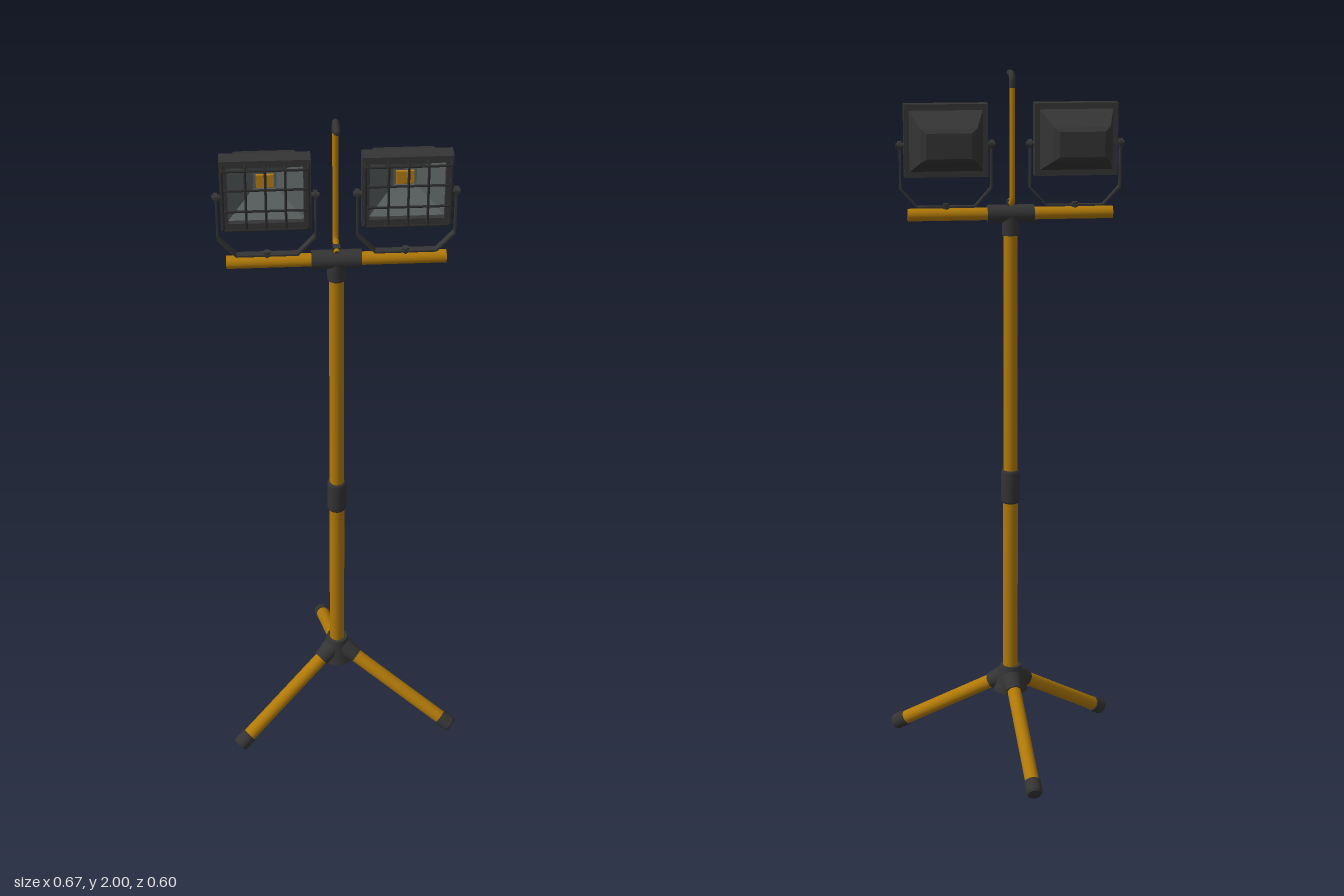
import * as THREE from 'three';

const mat = (name, color) => Object.assign(new THREE.MeshStandardMaterial({ color }), { name });
const V = (x, y, z) => new THREE.Vector3(x, y, z);

export function createModel() {
  const model = new THREE.Group();
  model.name = 'workLightTripod';
  const yellow = mat('yellow paint', 0xb07908);
  const dark = mat('dark plastic', 0x343434);
  const black = mat('black wire', 0x2a2a2a);
  const silver = mat('grey reflector', 0x585e5e);
  silver.side = THREE.DoubleSide;
  const amber = mat('amber emitter', 0xb47c14);

  const add = (parent, name, geo, material, x = 0, y = 0, z = 0) => {
    const m = new THREE.Mesh(geo, material);
    m.name = name;
    m.position.set(x, y, z);
    parent.add(m);
    return m;
  };
  // Cylinder running from a to b
  const bar = (parent, name, a, b, r, material, rEnd = r, sides = 24) => {
    const d = b.clone().sub(a);
    const m = add(parent, name, new THREE.CylinderGeometry(rEnd, r, d.length(), sides), material);
    m.position.copy(a).addScaledVector(d, 0.5);
    m.quaternion.setFromUnitVectors(V(0, 1, 0), d.normalize());
    return m;
  };
  // Bent rod through points; tension 0 gives straight runs
  const rod = (parent, name, pts, r, material, segs = 40, tension = 0) =>
    add(parent, name, new THREE.TubeGeometry(
      new THREE.CatmullRomCurve3(pts, false, 'catmullrom', tension), segs, r, 8), material);
  // Rectangular cross-sections [halfWidth, halfHeight, z] joined into a faceted shell
  const loft = (sections) => {
    const pos = [];
    const ring = ([w, h, z]) => [[-w, -h, z], [w, -h, z], [w, h, z], [-w, h, z]];
    for (let s = 0; s + 1 < sections.length; s++) {
      const a = ring(sections[s]), b = ring(sections[s + 1]);
      for (let i = 0; i < 4; i++) {
        const j = (i + 1) % 4;
        pos.push(...a[i], ...a[j], ...b[j], ...a[i], ...b[j], ...b[i]);
      }
    }
    const g = new THREE.BufferGeometry();
    g.setAttribute('position', new THREE.Float32BufferAttribute(pos, 3));
    g.computeVertexNormals();
    return g;
  };
  const rect = (Type, w, h) => new Type([[-w, -h], [w, -h], [w, h], [-w, h]].map(p => new THREE.Vector2(...p)));

  const px = -0.015, pz = 0.076;

  // Telescopic mast
  bar(model, 'lowerMast', V(px, 0.2, pz), V(px, 0.8, pz), 0.0215, yellow);
  bar(model, 'upperMast', V(px, 0.8, pz), V(px, 1.6, pz), 0.02, yellow);
  add(model, 'mastCollar', new THREE.LatheGeometry(
    [[0.019, 0.768], [0.024, 0.768], [0.027, 0.775], [0.027, 0.858], [0.024, 0.866], [0.019, 0.866]]
      .map(p => new THREE.Vector2(...p)), 24), dark, px, 0, pz);

  // Tripod hub and legs
  bar(model, 'hub', V(px, 0.185, pz), V(px, 0.262, pz), 0.05, dark, 0.031);
  for (const [name, x, z] of [['backLeg', -0.045, -0.293], ['frontRightLeg', -0.32, 0.281], ['frontLeftLeg', 0.323, 0.234]]) {
    const leg = new THREE.Group();
    leg.name = name;
    model.add(leg);
    const top = V(px, 0.237, pz), tip = V(x, 0.02, z);
    const at = t => top.clone().lerp(tip, t);
    bar(leg, 'legTube', at(0.1), at(0.97), 0.02, yellow);
    bar(leg, 'legSocket', at(0.04), at(0.165), 0.03, dark, 0.0235);
    bar(leg, 'footCap', at(0.9), at(0.985), 0.0235, dark);
    bar(leg, 'footTip', at(0.985), at(1), 0.0235, dark, 0.02);
  }

  // Crossbar and tee fitting
  const barY = 1.608;
  bar(model, 'crossbar', V(-0.3, barY, pz), V(0.27, barY, pz), 0.0175, yellow);
  bar(model, 'teeSleeve', V(-0.08, barY, pz), V(0.05, barY, pz), 0.025, dark);
  bar(model, 'teeSocket', V(px, 1.548, pz), V(px, barY, pz), 0.024, dark);

  // Hanging hook with dark grip and base clip
  rod(model, 'hookRod', [V(px, 1.639, 0.1), V(px, 1.639, 0.055), V(px, 1.643, 0.041), V(px, 1.656, 0.036),
    V(px, 1.7, 0.036), V(px, 1.965, 0.036)], 0.008, yellow, 60, 0.2);
  add(model, 'hookClip', new THREE.BoxGeometry(0.02, 0.02, 0.02), dark, px, 1.637, pz);
  rod(model, 'hookGrip', [V(px, 1.955, 0.036), V(px, 1.978, 0.037), V(px, 1.989, 0.046),
    V(px, 1.992, 0.06), V(px, 1.99, 0.1)], 0.009, dark, 30, 0.4);
  add(model, 'gripEnd', new THREE.SphereGeometry(0.009, 12, 8), dark, px, 1.99, 0.1);

  // Floodlight, centred on its own origin
  const addLamp = (name, x) => {
    const lamp = new THREE.Group();
    lamp.name = name;
    lamp.position.set(x, 1.813, 0);
    model.add(lamp);

    add(lamp, 'housing', loft([[0.0001, 0.0001, -0.066], [0.061, 0.034, -0.066], [0.076, 0.045, -0.055],
      [0.101, 0.083, 0.052]]), dark);
    const frame = rect(THREE.Shape, 0.115, 0.099);
    frame.holes.push(rect(THREE.Path, 0.096, 0.08));
    add(lamp, 'frontFrame', new THREE.ExtrudeGeometry(frame, { depth: 0.043, bevelEnabled: false }), dark, 0, 0, 0.051);
    add(lamp, 'reflector', loft([[0.096, 0.08, 0.078], [0.03, 0.024, 0.015], [0.0001, 0.0001, 0.015]]), silver);
    add(lamp, 'emitter', new THREE.BoxGeometry(0.046, 0.036, 0.008), amber, 0, 0, 0.02);

    // Wire guard
    for (const wx of [-0.108, -0.05, 0, 0.05, 0.108])
      rod(lamp, 'guardUpright', [V(wx, 0.087, 0.09), V(wx, 0.087, 0.112), V(wx, 0.081, 0.1185),
        V(wx, -0.081, 0.1185), V(wx, -0.087, 0.112), V(wx, -0.087, 0.09)], 0.0032, black, 48);
    for (const wy of [-0.085, -0.03, 0.03, 0.085])
      rod(lamp, 'guardRail', [V(-0.109, wy, 0.09), V(-0.109, wy, 0.112), V(-0.103, wy, 0.1185),
        V(0.103, wy, 0.1185), V(0.109, wy, 0.112), V(0.109, wy, 0.09)], 0.0032, black, 48);

    // Flat-strap yoke
    const outer = [[-0.128, -0.005], [-0.128, -0.133], [-0.08, -0.186], [0.08, -0.186], [0.128, -0.133], [0.128, -0.005]];
    const inner = [[0.123, -0.005], [0.123, -0.131], [0.078, -0.181], [-0.078, -0.181], [-0.123, -0.131], [-0.123, -0.005]];
    const strap = new THREE.Shape([...outer, ...inner].map(p => new THREE.Vector2(...p)));
    add(lamp, 'yoke', new THREE.ExtrudeGeometry(strap, { depth: 0.02, bevelEnabled: false }), dark, 0, 0, 0.066);
    bar(lamp, 'yokeBolt', V(0, -0.2, pz), V(0, -0.175, pz), 0.01, dark, 0.01, 6);
    for (const s of [-1, 1]) {
      bar(lamp, 'pivotPin', V(s * 0.11, -0.013, 0.074), V(s * 0.136, -0.013, 0.074), 0.007, dark);
      bar(lamp, 'pivotKnob', V(s * 0.121, -0.013, 0.074), V(s * 0.132, -0.013, 0.074), 0.013, dark, 0.012, 12);
    }
  };
  addLamp('rightLamp', -0.194);
  addLamp('leftLamp', 0.164);

  return model;
}
